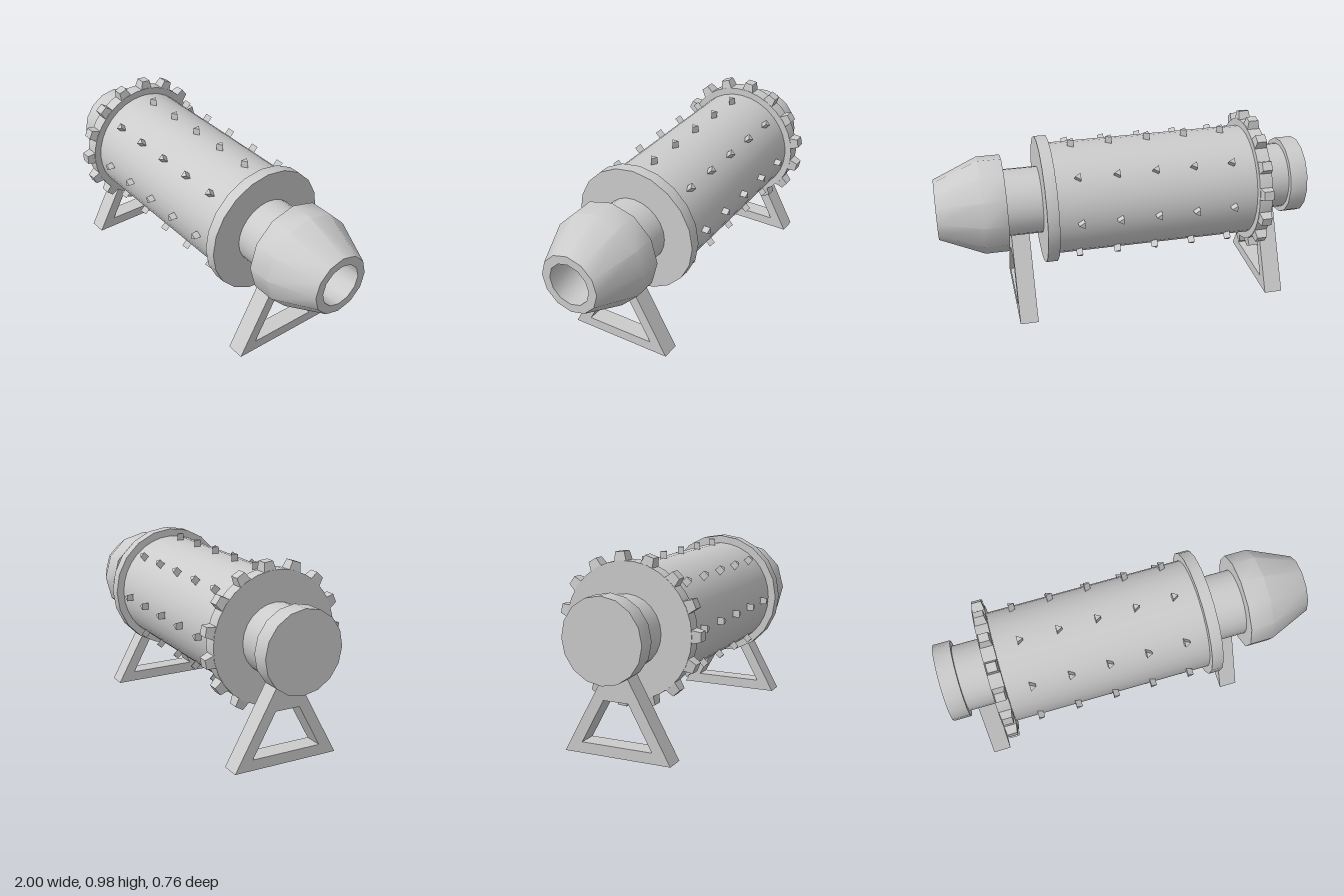
import * as THREE from 'three';
import { toCreasedNormals } from 'three/addons/utils/BufferGeometryUtils.js';

const AXIS_Y = 0.6;

export function createModel() {
  const model = new THREE.Group();
  const material = new THREE.MeshStandardMaterial({ color: 0xcccccc });

  const add = (parent, name, geometry) => {
    const mesh = new THREE.Mesh(geometry, material);
    mesh.name = name;
    parent.add(mesh);
    return mesh;
  };

  // Everything that turns about the horizontal x axis
  const rotor = new THREE.Group();
  rotor.name = 'rotor';
  rotor.position.y = AXIS_Y;
  model.add(rotor);

  // Solid of revolution about x; profile is a list of [x, radius]
  const turned = (name, sides, profile) => {
    const points = profile.map(([x, r]) => new THREE.Vector2(r, x));
    const geometry = new THREE.LatheGeometry(points, sides).rotateZ(-Math.PI / 2);
    return add(rotor, name, toCreasedNormals(geometry, 0.61));
  };
  const disc = (name, sides, x0, x1, r) =>
    turned(name, sides, [[x0, 0], [x0, r], [x1, r], [x1, 0]]);

  disc('endCap', 16, -1, -0.905, 0.21);
  disc('shaft', 24, -0.92, 0.66, 0.18);
  disc('drum', 32, -0.7, 0.4, 0.3);
  disc('collar', 20, 0.39, 0.452, 0.342);

  // Tapered nozzle with an open bore
  turned('nozzle', 12, [
    [0.64, 0], [0.64, 0.26], [0.765, 0.26], [1, 0.16],
    [1, 0.114], [0.8, 0.114], [0.8, 0],
  ]);

  // Gear ring with tapered teeth
  disc('gearDisc', 30, -0.75, -0.68, 0.338);
  const tooth = new THREE.BoxGeometry(0.07, 0.06, 0.07);
  const p = tooth.attributes.position;
  for (let i = 0; i < p.count; i++) {
    if (p.getY(i) > 0) {
      p.setX(i, p.getX(i) * 0.75);
      p.setZ(i, p.getZ(i) * 0.68);
    }
  }
  tooth.translate(-0.715, 0.35, 0);
  tooth.computeVertexNormals();
  for (let k = 0; k < 15; k++) {
    add(rotor, 'gearTooth', tooth).rotation.x = Math.PI / 2 + (k * Math.PI * 2) / 15;
  }

  // Eight rows of triangular studs pointing along +x
  const stud = new THREE.CylinderGeometry(0.021, 0.021, 0.05, 3)
    .rotateY(Math.PI / 2)
    .translate(0, 0.31, 0);
  const studGeometry = toCreasedNormals(stud, 0.3);
  for (let row = 0; row < 8; row++) {
    for (let i = 0; i < 5; i++) {
      const mesh = add(rotor, 'stud', studGeometry);
      mesh.position.x = -0.55 + i * 0.205;
      mesh.rotation.x = (row * Math.PI) / 4;
    }
  }

  // A-shaped stands, drawn in the z-y plane and extruded along x
  const polygon = (Type, corners) =>
    new Type(corners.map(([x, y]) => new THREE.Vector2(x, y)));
  const frame = polygon(THREE.Shape, [[-0.286, 0], [0.286, 0], [0.048, 0.432], [-0.048, 0.432]]);
  frame.holes.push(
    polygon(THREE.Path, [[-0.19, 0.056], [-0.067, 0.28], [0.067, 0.28], [0.19, 0.056]])
  );
  const standGeometry = new THREE.ExtrudeGeometry(frame, { depth: 0.098, bevelEnabled: false })
    .translate(0, 0, -0.049)
    .rotateY(Math.PI / 2);
  for (const [name, x] of [['rightStand', -0.827], ['leftStand', 0.569]]) {
    add(model, name, standGeometry).position.x = x;
  }

  return model;
}
